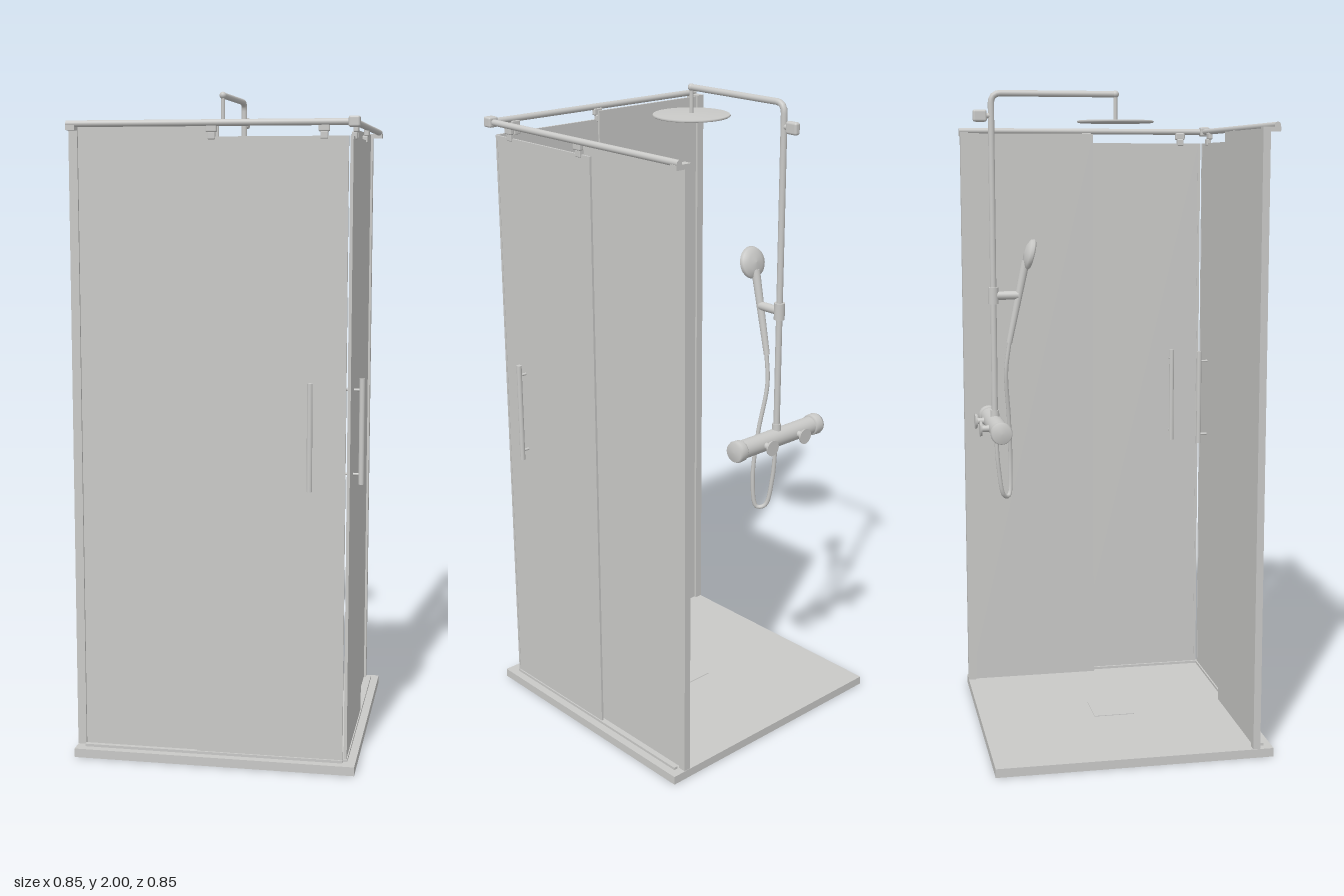
import * as THREE from 'three';
import { RoundedBoxGeometry } from 'three/addons/geometries/RoundedBoxGeometry.js';

const grey = new THREE.MeshStandardMaterial({ color: 0xc9c9c7 });
grey.name = 'light grey';

const V = (x, y, z) => new THREE.Vector3(x, y, z);

function add(parent, name, geometry) {
  const mesh = new THREE.Mesh(geometry, grey);
  mesh.name = name;
  parent.add(mesh);
  return mesh;
}

// Box given by its lower and upper corners
function box(parent, name, [x0, y0, z0], [x1, y1, z1], round = 0) {
  const s = [x1 - x0, y1 - y0, z1 - z0];
  const g = round ? new RoundedBoxGeometry(...s, 3, round) : new THREE.BoxGeometry(...s);
  const m = add(parent, name, g);
  m.position.set((x0 + x1) / 2, (y0 + y1) / 2, (z0 + z1) / 2);
  return m;
}

// Round bar between two points
function rod(parent, name, a, b, r0, r1 = r0, sides = 24) {
  const dir = b.clone().sub(a);
  const m = add(parent, name, new THREE.CylinderGeometry(r1, r0, dir.length(), sides));
  m.position.copy(a).add(b).multiplyScalar(0.5);
  m.quaternion.setFromUnitVectors(V(0, 1, 0), dir.normalize());
  return m;
}

// One glazed side: u runs along the wall, w points outward; the side wall swaps x and z
function glazedSide(name, swap) {
  const side = new THREE.Group();
  side.name = name;
  const at = (u, y, w) => (swap ? [w, y, u] : [u, y, w]);
  const slab = (n, u0, u1, y0, y1, w0, w1, round) =>
    box(side, n, at(u0, y0, w0), at(u1, y1, w1), round);
  const bar = (n, a, b, r) => rod(side, n, V(...at(...a)), V(...at(...b)), r);

  slab('fixedPanel', -0.42, 0.012, 0.028, 1.88, 0.366, 0.373);
  slab('slidingDoor', -0.053, 0.378, 0.036, 1.85, 0.388, 0.395);
  slab('doorSeal', 0.376, 0.384, 0.036, 1.85, 0.387, 0.396);
  slab('wallProfile', -0.427, -0.401, 0.028, 1.88, 0.358, 0.38);
  slab('bottomGuide', -0.4, 0.384, 0.026, 0.035, 0.384, 0.398);
  bar('topRail', [-0.427, 1.888, 0.4], [0.4, 1.888, 0.4], 0.0095);

  // Door hangers
  for (const u of [-0.005, 0.315]) {
    slab('hangerBlock', u - 0.016, u + 0.016, 1.862, 1.884, 0.389, 0.404, 0.004);
    slab('hangerClip', u - 0.011, u + 0.011, 1.842, 1.864, 0.384, 0.4, 0.003);
  }

  // Paired handle bars joined through the glass
  const u = 0.283;
  for (const w of [0.36, 0.419]) bar('handleBar', [u, 0.845, w], [u, 1.158, w], 0.008);
  for (const y of [0.875, 1.125]) bar('handlePost', [u, y, 0.36], [u, y, 0.419], 0.004);
  return side;
}

function valve() {
  const g = new THREE.Group();
  g.name = 'mixerValve';
  const x = -0.045, y = 0.988, z = -0.372;
  rod(g, 'valveBody', V(x - 0.16, y, z), V(x + 0.16, y, z), 0.028, 0.028, 32);

  // Knobs with softened rims
  const profile = [[0, -0.018], [0.028, -0.018], [0.032, -0.012], [0.033, 0.008], [0.029, 0.017], [0, 0.018]]
    .map(([r, h]) => new THREE.Vector2(r, h));
  for (const s of [-1, 1]) {
    const knob = add(g, 'valveKnob', new THREE.LatheGeometry(profile, 32));
    knob.position.set(x + s * 0.163, y, z);
    knob.rotation.z = -s * Math.PI / 2;
    const px = x + s * 0.07;
    rod(g, 'inletPipe', V(px, y, -0.427), V(px, y, z), 0.01);
    rod(g, 'inletRosette', V(px, y, -0.427), V(px, y, -0.42), 0.024, 0.022);
  }
  rod(g, 'riserSocket', V(x, y, z), V(x, y + 0.045, z), 0.015, 0.013);
  return g;
}

function overheadShower() {
  const g = new THREE.Group();
  g.name = 'overheadShower';
  const x = -0.045, zr = -0.372, top = 1.988;
  // Riser bending into the long arm
  const path = new THREE.CurvePath();
  path.add(new THREE.LineCurve3(V(x, 1.0, zr), V(x, top - 0.03, zr)));
  path.add(new THREE.QuadraticBezierCurve3(V(x, top - 0.03, zr), V(x, top, zr), V(x, top, zr + 0.03)));
  path.add(new THREE.LineCurve3(V(x, top, zr + 0.03), V(x, top, 0.006)));
  add(g, 'riserAndArm', new THREE.TubeGeometry(path, 120, 0.0095, 16));
  add(g, 'armTip', new THREE.SphereGeometry(0.011, 16, 12)).position.set(x, top, 0.006);
  rod(g, 'headStem', V(x, 1.91, 0.006), V(x, top, 0.006), 0.006);
  // Thin round head
  const profile = [[0, 1.903], [0.113, 1.903], [0.117, 1.906], [0.114, 1.91], [0.02, 1.913], [0, 1.913]]
    .map(([r, h]) => new THREE.Vector2(r, h));
  add(g, 'rainHead', new THREE.LatheGeometry(profile, 64)).position.set(x, 0, 0.006);
  box(g, 'wallBracket', [x - 0.01, 1.904, -0.427], [x + 0.01, 1.94, -0.385], 0.007);
  rod(g, 'bracketArm', V(x, 1.922, -0.4), V(x, 1.922, zr), 0.008);
  return g;
}

function handShower() {
  const g = new THREE.Group();
  g.name = 'handShower';
  const x = -0.045;
  // Slider on the riser
  rod(g, 'sliderSleeve', V(x, 1.36, -0.372), V(x, 1.41, -0.372), 0.016);
  rod(g, 'sliderHolder', V(x, 1.385, -0.372), V(x, 1.385, -0.297), 0.013);
  // Handle and tilted head
  rod(g, 'handle', V(x, 1.24, -0.325), V(x, 1.49, -0.272), 0.009, 0.013);
  const profile = [[0, -0.012], [0.042, -0.012], [0.048, -0.006], [0.044, 0.003], [0.026, 0.012], [0, 0.015]]
    .map(([r, h]) => new THREE.Vector2(r, h));
  const head = add(g, 'sprayHead', new THREE.LatheGeometry(profile, 40));
  head.position.set(x, 1.51, -0.262);
  head.rotation.x = -Math.PI / 2 + 0.25;
  // Hose looping below the valve
  const hose = new THREE.CatmullRomCurve3([
    V(x, 1.25, -0.323), V(-0.04, 1.15, -0.335), V(-0.015, 1.0, -0.325), V(0, 0.85, -0.32),
    V(-0.012, 0.755, -0.327), V(-0.03, 0.76, -0.345), V(-0.042, 0.85, -0.362), V(x, 0.97, -0.37),
  ]);
  add(g, 'hose', new THREE.TubeGeometry(hose, 80, 0.0065, 10));
  return g;
}

export function createModel() {
  const model = new THREE.Group();
  model.name = 'cornerShower';

  // Tray with a flush drain cover
  const tray = new THREE.Group();
  tray.name = 'showerTray';
  box(tray, 'trayBase', [-0.427, 0, -0.427], [0.422, 0.027, 0.422]);
  box(tray, 'drainCover', [-0.065, 0.024, -0.065], [0.065, 0.029, 0.065]);
  model.add(tray);

  model.add(glazedSide('frontEnclosure', false), glazedSide('sideEnclosure', true));
  box(model, 'railCorner', [0.384, 1.873, 0.384], [0.416, 1.904, 0.416], 0.006);
  // Rail wall sockets
  box(model, 'frontRailSocket', [-0.427, 1.87, 0.358], [-0.401, 1.884, 0.41]);
  box(model, 'sideRailSocket', [0.358, 1.87, -0.427], [0.41, 1.884, -0.401]);

  model.add(valve(), overheadShower(), handShower());
  return model;
}
